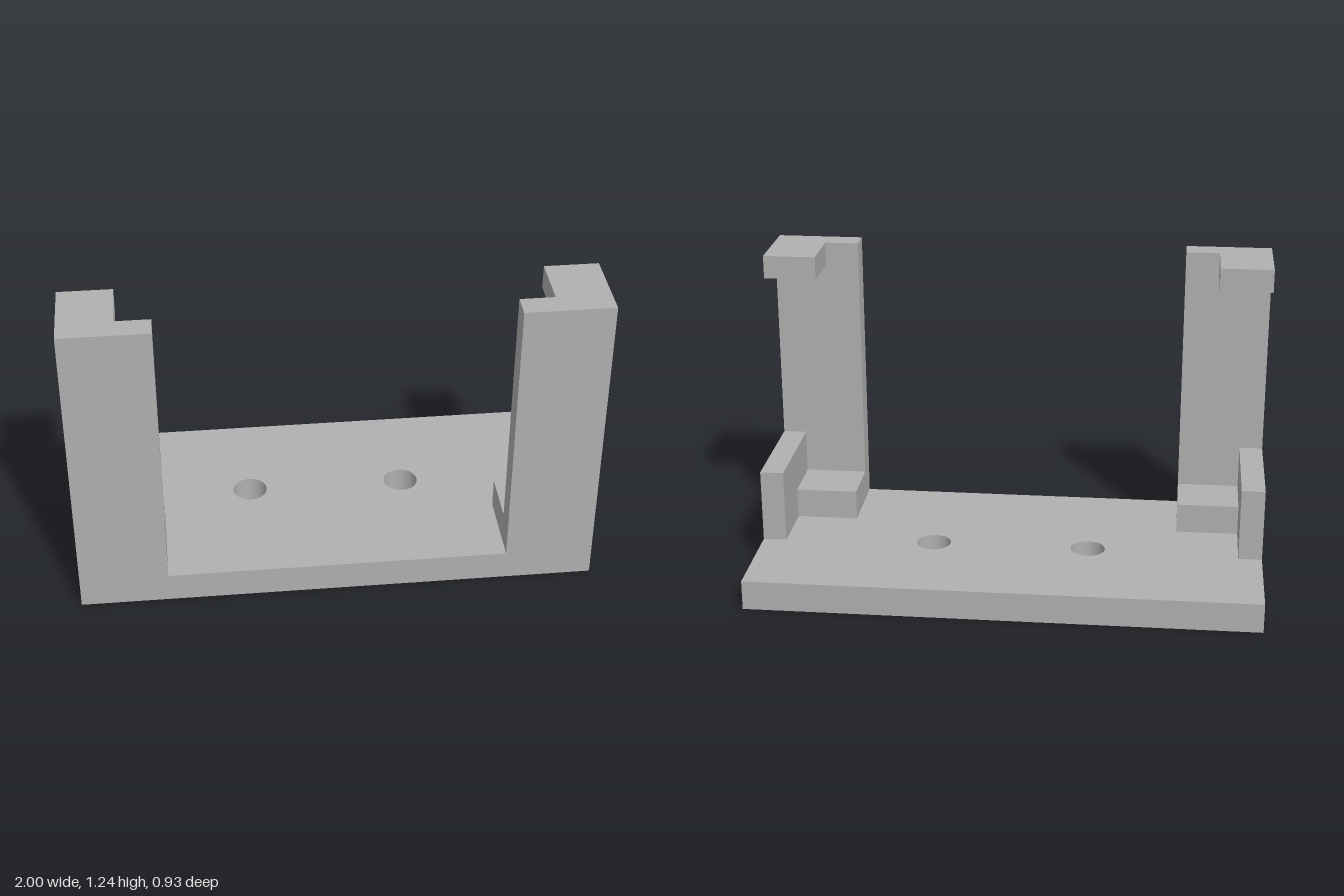
import * as THREE from 'three';

const BASE_H = 0.118, HALF_D = 0.465, POST_Z = 0.372;

export function createModel() {
  const model = new THREE.Group();
  model.name = 'bracket';
  const grey = new THREE.MeshStandardMaterial({ color: 0xb0b0b0 });
  grey.name = 'grey';

  // Box given by its lower and upper corners
  const block = (name, parent, [x0, y0, z0], [x1, y1, z1]) => {
    const mesh = new THREE.Mesh(new THREE.BoxGeometry(x1 - x0, y1 - y0, z1 - z0), grey);
    mesh.position.set((x0 + x1) / 2, (y0 + y1) / 2, (z0 + z1) / 2);
    mesh.name = name;
    parent.add(mesh);
  };

  // Base plate with two screw holes
  const outline = new THREE.Shape([
    new THREE.Vector2(-1, -HALF_D), new THREE.Vector2(1, -HALF_D),
    new THREE.Vector2(1, HALF_D), new THREE.Vector2(-1, HALF_D),
  ]);
  for (const x of [-0.31, 0.31]) {
    outline.holes.push(new THREE.Path().absarc(x, 0.04, 0.068, 0, Math.PI * 2, true));
  }
  const plate = new THREE.ExtrudeGeometry(outline, { depth: BASE_H, bevelEnabled: false, curveSegments: 32 });
  plate.rotateX(-Math.PI / 2);
  const base = new THREE.Mesh(plate, grey);
  base.name = 'basePlate';
  model.add(base);

  // Mirrored corner holders
  for (const side of [1, -1]) {
    const holder = new THREE.Group();
    holder.name = side > 0 ? 'leftHolder' : 'rightHolder';
    const part = (name, [x0, y0, z0], [x1, y1, z1]) => block(name, holder,
      [side > 0 ? x0 : -x1, y0, z0], [side > 0 ? x1 : -x0, y1, z1]);
    part('frontPost', [0.66, BASE_H, POST_Z], [1, 1.237, HALF_D]);
    part('sideWall', [0.907, BASE_H, -0.077], [1, 0.41, POST_Z]);
    part('supportStep', [0.66, BASE_H, 0.157], [0.907, 0.238, POST_Z]);
    part('topHook', [0.793, 1.145, 0.157], [1, 1.237, POST_Z]);
    model.add(holder);
  }
  return model;
}
